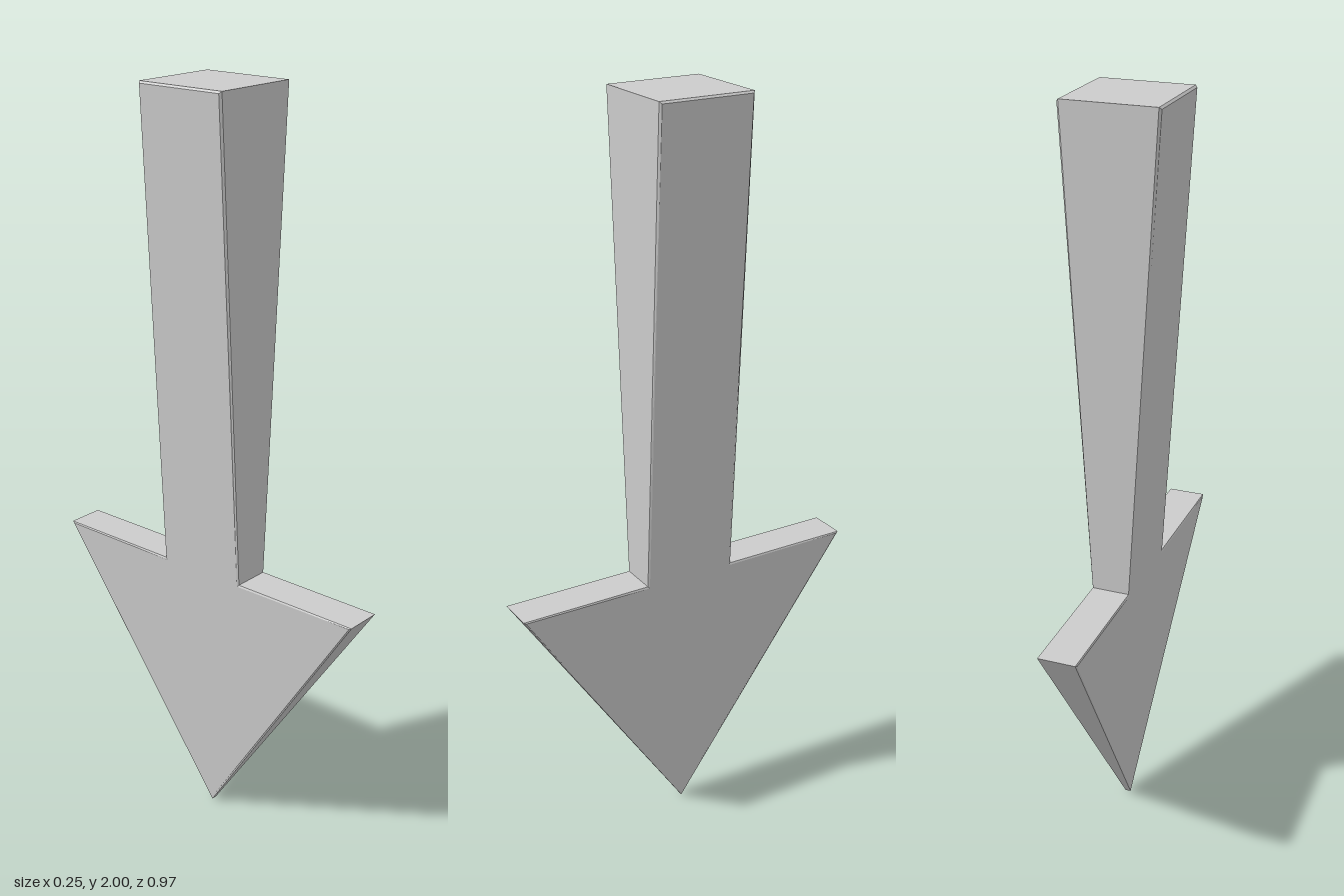
import * as THREE from 'three';

const HEIGHT = 2;
const BEVEL = 0.005;

// Half thickness along x, growing from the tip to the top of the shaft
const halfThickness = (y) => THREE.MathUtils.lerp(0.008, 0.127, y / HEIGHT);

export function createModel() {
  const group = new THREE.Group();
  group.name = 'downArrow';

  // Arrow outline: tip, right barb, shaft, left barb
  const half = [[0.485, 0.74], [0.127, 0.74], [0.127, HEIGHT]];
  const mirrored = half.map(([z, y]) => [-z, y]).reverse();
  const outline = new THREE.Shape(
    [[0, 0], ...half, ...mirrored].map(([z, y]) => new THREE.Vector2(z, y))
  );

  // Slab of unit half thickness with a narrow chamfer inside the outline
  const chamfer = 0.045;
  const geometry = new THREE.ExtrudeGeometry(outline, {
    depth: 2 - 2 * chamfer,
    bevelEnabled: true,
    bevelSegments: 1,
    bevelThickness: chamfer,
    bevelSize: BEVEL,
    bevelOffset: -BEVEL,
  });
  geometry.translate(0, 0, chamfer - 1);
  geometry.rotateY(-Math.PI / 2);

  // Taper the slab into a wedge toward the tip
  const pos = geometry.attributes.position;
  for (let i = 0; i < pos.count; i++) {
    pos.setX(i, pos.getX(i) * halfThickness(pos.getY(i)));
  }
  geometry.computeVertexNormals();

  const arrow = new THREE.Mesh(
    geometry,
    new THREE.MeshStandardMaterial({ color: 0xcccccc, flatShading: true })
  );
  arrow.name = 'arrow';
  group.add(arrow);
  return group;
}
